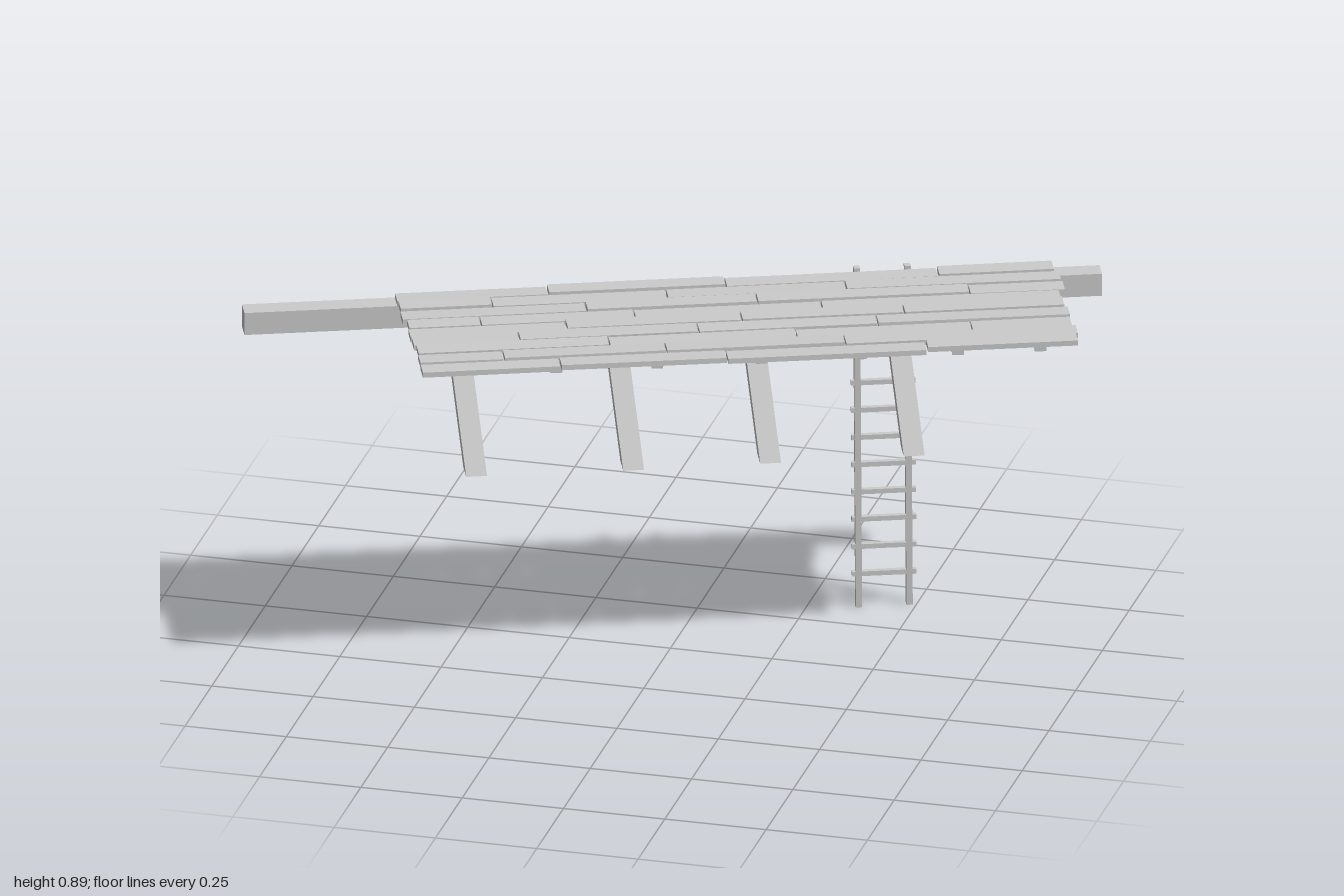
import * as THREE from 'three';

const YAW = 0.3735; // the whole platform is turned about the vertical axis
const mat = new THREE.MeshStandardMaterial({ color: 0xcccccc, flatShading: true });

function box(parent, name, w, h, d, x, y, z, yaw = 0) {
  const m = new THREE.Mesh(new THREE.BoxGeometry(w, h, d), mat);
  m.name = name;
  m.position.set(x, y, z);
  m.rotation.y = yaw;
  parent.add(m);
  return m;
}

// Box whose top end is slid sideways by (dx, dz): a slanted post with level ends
function slantedPost(parent, name, w, h, d, x, y, z, dx, dz) {
  const g = new THREE.BoxGeometry(w, h, d).rotateY(YAW).translate(0, h / 2, 0);
  const p = g.attributes.position;
  for (let i = 0; i < p.count; i++) {
    const t = p.getY(i) / h;
    p.setX(i, p.getX(i) + dx * t);
    p.setZ(i, p.getZ(i) + dz * t);
  }
  g.computeVertexNormals();
  const m = new THREE.Mesh(g, mat);
  m.name = name;
  m.position.set(x, y, z);
  parent.add(m);
}

function seeded(seed) {
  return () => (seed = (seed * 16807) % 2147483647) / 2147483647;
}

export function createModel() {
  const root = new THREE.Group();
  root.name = 'woodenPlatform';

  // Main beam and plank deck, in the turned frame
  const platform = new THREE.Group();
  platform.name = 'deck';
  platform.rotation.y = YAW;
  root.add(platform);
  box(platform, 'mainBeam', 2.06, 0.057, 0.053, 0.02, 0.8435, -0.14);

  // Rows of planks, butted end to end with staggered joints
  const joints = [
    [-0.28, 0.147, 0.657], [-0.42, 0.0, 0.43], [-0.2, 0.21, 0.72],
    [-0.46, -0.09, 0.36], [-0.26, 0.16, 0.55], [-0.38, 0.05, 0.48],
    [-0.17, 0.28, 0.7], [-0.43, -0.04, 0.39], [-0.3, 0.1, 0.58],
  ];
  const rnd = seeded(77);
  const pitch = 0.0542;
  joints.forEach((cuts, r) => {
    const v = -0.163 + pitch * (r + 0.5);
    const ends = [-0.637 + (rnd() - 0.5) * 0.016, ...cuts, 0.942 + (rnd() - 0.5) * 0.016];
    for (let i = 0; i < ends.length - 1; i++) {
      const len = ends[i + 1] - ends[i] - 0.004;
      const plank = box(platform, 'plank', len, 0.013, pitch - 0.005,
        (ends[i] + ends[i + 1]) / 2, 0.8805 + (rnd() - 0.4) * 0.008, v, (rnd() - 0.5) * 0.008);
      plank.rotation.x = (rnd() - 0.5) * 0.05;
    }
  });

  // Joists under the planks, slightly off square to the beam
  for (const x of [-0.2435, -0.018, 0.215, 0.437, 0.655, 0.84]) {
    box(root, 'joist', 0.028, 0.026, 0.365, x, 0.853, 0.175 - (x + 0.2435) * 0.388, 0.305);
  }

  // Slanted legs running up into the beam
  for (const [x, z] of [[-0.438, 0.166], [-0.085, 0.035], [0.22, -0.09], [0.54, -0.22]]) {
    slantedPost(root, 'leg', 0.05, 0.345, 0.06, x, 0.48, z, -0.08, -0.113);
  }

  // Ladder leaning on the back of the beam
  const ladder = new THREE.Group();
  ladder.name = 'ladder';
  root.add(ladder);
  for (const [x, z] of [[0.369, -0.361], [0.482, -0.407]]) {
    slantedPost(ladder, 'ladderRail', 0.015, 0.895, 0.017, x, 0, z, 0.004, 0.034);
  }
  for (let i = 0; i < 11; i++) {
    const y = 0.087 + i * 0.072;
    box(ladder, 'rung', 0.155, 0.012, 0.013, 0.4265 + 0.0045 * y, y, -0.384 + 0.038 * y, YAW);
  }
  return root;
}
